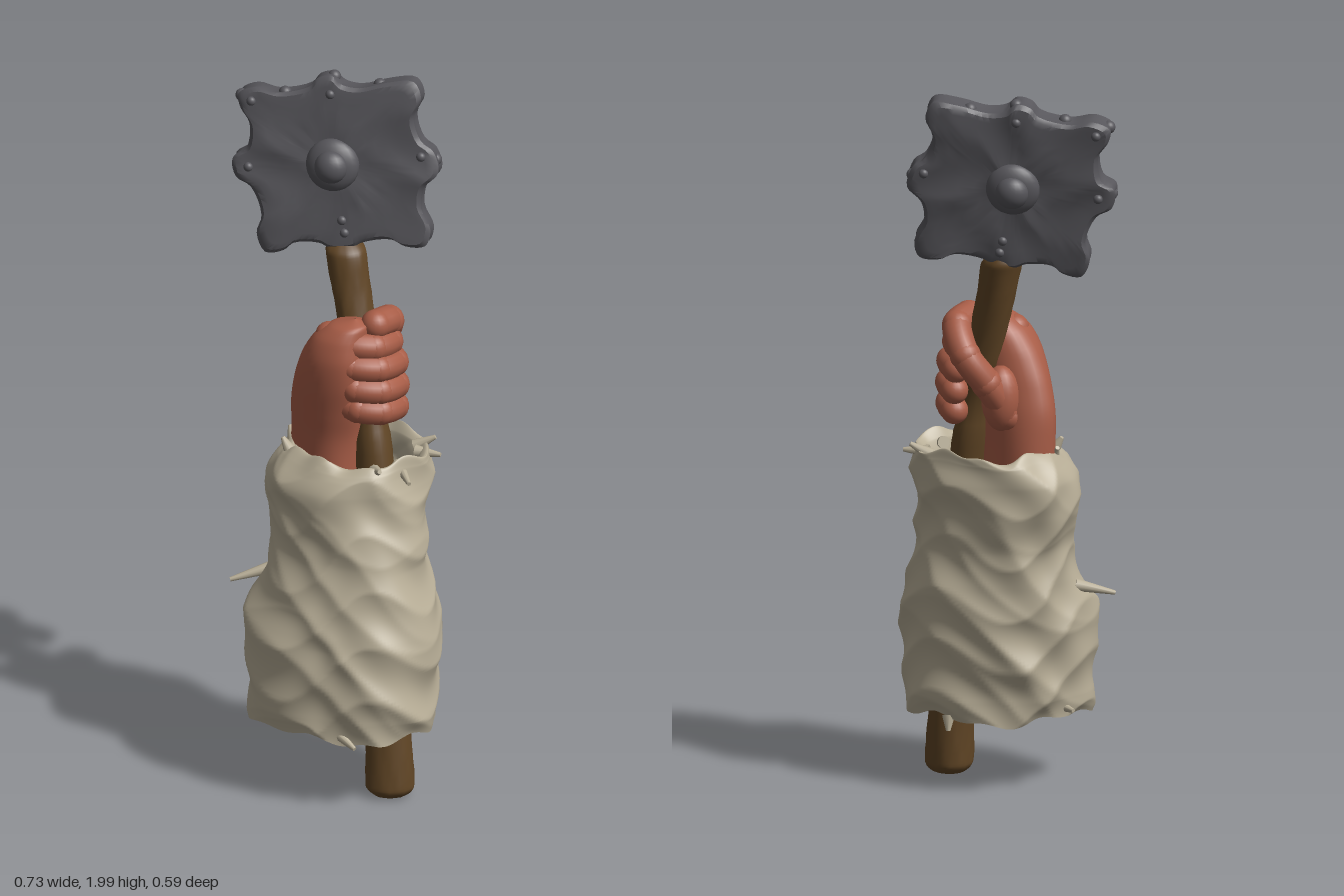
import * as THREE from 'three';
import { toCreasedNormals } from 'three/addons/utils/BufferGeometryUtils.js';

const V = (x, y, z) => new THREE.Vector3(x, y, z);
const paint = (name, color, side = THREE.FrontSide) => {
  const m = new THREE.MeshStandardMaterial({ color, side });
  m.name = name;
  return m;
};
const ridge = (a) => 1 - 2 * Math.abs(Math.sin(a));
const clamp01 = (v) => Math.min(1, Math.max(0, v));

// closed rings joined into a skin; point(i, j) gives each vertex
function loft(rings, seg, point) {
  const pos = [], idx = [];
  for (let i = 0; i < rings; i++) for (let j = 0; j < seg; j++) pos.push(...point(i, j).toArray());
  for (let i = 0; i < rings - 1; i++) for (let j = 0; j < seg; j++) {
    const k = (j + 1) % seg, a = i * seg + j, b = i * seg + k, c = b + seg, d = a + seg;
    idx.push(a, b, c, a, c, d);
  }
  const g = new THREE.BufferGeometry();
  g.setAttribute('position', new THREE.Float32BufferAttribute(pos, 3));
  g.setIndex(idx);
  g.computeVertexNormals();
  return g;
}

// upright column from rows [y, cx, cz, rx, rz]; warp(angle, y, t) returns [radius factor, y shift]
function column(rows, n, seg, warp) {
  const centre = new THREE.CatmullRomCurve3(rows.map((r) => V(r[1], r[0], r[2])));
  const radius = new THREE.CatmullRomCurve3(rows.map((r) => V(r[3], 0, r[4])));
  return loft(n, seg, (i, j) => {
    const t = i / (n - 1), a = (j / seg) * Math.PI * 2;
    const c = centre.getPoint(t), r = radius.getPoint(t);
    const [f, dy] = warp(a, c.y, t);
    return V(c.x + Math.cos(a) * r.x * f, c.y + dy, c.z - Math.sin(a) * r.z * f);
  });
}

export function createModel() {
  const root = new THREE.Group();
  root.name = 'fistWithHammer';
  const iron = paint('dark iron', 0x57565b);
  const wood = paint('brown wood', 0x604525);
  const skin = paint('red brown skin', 0xa85d47);
  const cloth = paint('beige cloth', 0xb8ae97, THREE.DoubleSide);

  const add = (parent, name, geo, mat, at = [0, 0, 0]) => {
    const m = new THREE.Mesh(geo, mat);
    m.name = name;
    m.position.set(...at);
    parent.add(m);
    return m;
  };
  const ball = (parent, name, mat, at, r, squash = 1) => {
    const m = add(parent, name, new THREE.SphereGeometry(r, 20, 14), mat, at);
    m.scale.z = squash;
    return m;
  };

  // wooden shaft, slightly bent, ending inside the hammer head
  add(root, 'shaft', column([
    [0.003, 0.218, 0.002, 0.002, 0.002], [0.006, 0.218, 0.002, 0.045, 0.045], [0.035, 0.217, 0.002, 0.067, 0.067],
    [0.2, 0.2, -0.006, 0.062, 0.062], [0.6, 0.14, -0.03, 0.055, 0.055], [1.0, 0.07, -0.05, 0.051, 0.051],
    [1.2, 0.018, -0.056, 0.051, 0.051], [1.4, -0.042, -0.06, 0.053, 0.053], [1.5, -0.07, -0.064, 0.056, 0.056],
    [1.54, -0.088, -0.07, 0.03, 0.03],
  ], 80, 28, (a, y) => [1 + 0.03 * Math.sin(3 * a + 9 * y) + 0.02 * ridge(5 * a + 4 * Math.sin(7 * y)), 0]), wood);

  // hammer head: battered square plate with scalloped edges, leaning with the shaft
  const head = new THREE.Group();
  head.name = 'hammerHead';
  const up = V(-0.17, 0.98, -0.05).normalize();
  const right = new THREE.Vector3().crossVectors(up, V(0.68, 0.15, 0.734)).normalize();
  const face = new THREE.Vector3().crossVectors(right, up);
  head.setRotationFromMatrix(new THREE.Matrix4().makeBasis(right, up, face));
  head.position.set(-0.125, 1.742, -0.075);
  root.add(head);
  const edge = new THREE.CatmullRomCurve3([
    [0.284, -0.03], [0.274, 0.03], [0.242, 0.06], [0.226, 0.13], [0.25, 0.18], [0.232, 0.228],
    [0.16, 0.228], [0.08, 0.214], [0.03, 0.226], [0.005, 0.25], [-0.035, 0.244], [-0.06, 0.22],
    [-0.15, 0.206], [-0.21, 0.222], [-0.258, 0.204], [-0.255, 0.165], [-0.232, 0.12], [-0.245, 0.05],
    [-0.284, 0.025], [-0.28, -0.03], [-0.24, -0.06], [-0.215, -0.14], [-0.232, -0.19], [-0.212, -0.244],
    [-0.16, -0.24], [-0.13, -0.22], [-0.06, -0.222], [-0.03, -0.236], [0.03, -0.236], [0.06, -0.222],
    [0.14, -0.215], [0.18, -0.235], [0.235, -0.235], [0.252, -0.19], [0.23, -0.13], [0.242, -0.07],
  ].map(([x, y]) => V(x, y, 0)), true);
  const rim = edge.getPoints(144).slice(0, 144);
  const half = [[0.01, 1], [0.2, 1], [0.35, 1], [0.5, 1], [0.65, 1], [0.78, 1], [0.88, 1], [0.95, 0.97], [0.995, 0.7]];
  const profile = [...half.map(([s, z]) => [s, -z]), [0.985, 0], ...half.slice().reverse()];
  const plate = loft(profile.length, 144, (i, j) => {
    const [s, z] = profile[i], x = rim[j].x * s, y = rim[j].y * s;
    const dent = 0.003 * ridge(14 * x + 9 * y + Math.sin(17 * y) + z) + 0.003 * ridge(11 * x - 16 * y + Math.sin(15 * x));
    return V(x, y, z * (0.043 + dent));
  });
  add(head, 'headPlate', toCreasedNormals(plate, 0.7), iron);
  for (const s of [1, -1]) {
    ball(head, 'bossBase', iron, [-0.006, 0.002, s * 0.04], 0.074, 0.5);
    ball(head, 'bossDome', iron, [-0.006, 0.002, s * 0.065], 0.046, 0.8);
    [[0.24, 0.02], [-0.24, 0], [0, 0.2], [0.01, -0.155], [0.015, -0.19], [-0.22, 0.185]]
      .forEach(([x, y]) => ball(head, 'rivet', iron, [x, y, s * 0.042], 0.013, 0.9));
  }
  // studs on the rim
  [[0.005, 0.238], [-0.25, 0.195], [0.13, 0.212], [-0.13, 0.2], [0.27, 0], [-0.272, 0]]
    .forEach(([x, y], i) => ball(head, 'rimStud', iron, [x, y, i % 2 ? 0.01 : -0.01], 0.018));

  // forearm running into the back of the hand
  add(root, 'forearmAndPalm', column([
    [0.72, -0.04, 0.02, 0.1, 0.085], [0.88, -0.05, 0.02, 0.11, 0.082], [1.0, -0.05, 0.02, 0.116, 0.078],
    [1.08, -0.04, 0.024, 0.122, 0.08], [1.16, -0.022, 0.028, 0.117, 0.083], [1.24, -0.002, 0.026, 0.1, 0.084],
    [1.3, 0.014, 0.014, 0.076, 0.076], [1.335, 0.032, 0, 0.052, 0.054], [1.352, 0.045, -0.008, 0.002, 0.002],
  ], 44, 32, (a, y) => [1 + 0.018 * Math.sin(4 * a + 12 * y), 0]), skin);
  // fleshy base of the thumb
  ball(root, 'thumbBase', skin, [-0.058, 1.12, -0.055], 0.054).scale.y = 1.7;

  // rounded bent tube with swollen joints, used for the digits
  const digit = (name, pts, r) => {
    const g = new THREE.Group();
    g.name = name;
    root.add(g);
    add(g, name + 'Flesh', new THREE.TubeGeometry(new THREE.CatmullRomCurve3(pts), 28, r, 14), skin);
    pts.forEach((p, i) => ball(g, name + 'Joint', skin, p.toArray(), i === pts.length - 1 ? r : r * 1.04));
  };
  // four fingers wrapped round the shaft
  [1.105, 1.165, 1.228, 1.285].forEach((y, k) => {
    const cx = 0.016 - (y - 1.2) * 0.2, R = [0.08, 0.089, 0.094, 0.086][k];
    const pts = [-0.15, 0.65, 1.45, 2.3, 2.9].map((f, i) =>
      V(cx + Math.sin(f) * R * (i === 4 ? 0.85 : 1.04), y + 0.008 - 0.009 * i, -0.05 + Math.cos(f) * R));
    digit('finger', pts, 0.038);
  });
  digit('thumb', [V(-0.07, 1.07, -0.035), V(-0.055, 1.17, -0.105), V(-0.018, 1.25, -0.15), V(0.045, 1.318, -0.122), V(0.068, 1.33, -0.06)], 0.041);

  // wrinkled sleeve, open below and tucked in at the wrist
  const folds = (a, y, t) => {
    const lobe = (at) => Math.max(0, Math.cos(a - at)) ** 4;
    const w = 0.022 * ridge(10 * y + a + 1.1 * Math.sin(2 * a + 1))
      + 0.024 * ridge(21 * y - a + 1.4 * Math.sin(3 * a))
      + 0.018 * ridge(17 * y + 2 * a + 1.5 * Math.sin(2 * a + 4 * y))
      + 0.012 * Math.sin(5 * a + 23 * y + 2 * Math.sin(2 * a));
    // fuller low on one side, flatter beside it, square at the top of the far side
    const low = clamp01((0.8 - y) * 3), high = clamp01((y - 0.68) * 6);
    const shape = low * (0.2 * lobe(4.1) - 0.12 * lobe(5.3)) + 0.2 * high * lobe(0.785) + 0.04 * low * lobe(0.785);
    const ends = Math.max(0, 1 - Math.abs(t - 0.75) * 9) + Math.max(0, 1 - t * 12);
    return [1 + w + shape, ends * (0.01 * Math.sin(4 * a + 1) + 0.007 * Math.sin(9 * a))];
  };
  add(root, 'sleeve', column([
    [0.21, 0.1, 0.05, 0.24, 0.21], [0.27, 0.096, 0.05, 0.255, 0.222], [0.4, 0.086, 0.045, 0.265, 0.23],
    [0.5, 0.078, 0.035, 0.258, 0.224], [0.6, 0.064, 0.02, 0.246, 0.21], [0.7, 0.05, 0.014, 0.23, 0.19],
    [0.8, 0.014, 0.014, 0.23, 0.184], [0.89, 0, 0.008, 0.222, 0.2], [0.95, 0.012, -0.016, 0.198, 0.182],
    [0.972, 0.02, -0.03, 0.18, 0.164], [0.955, 0.02, -0.028, 0.163, 0.148],
    [0.88, 0.01, -0.015, 0.15, 0.136], [0.78, -0.01, 0, 0.125, 0.115],
  ], 170, 144, folds), cloth);

  // frayed tatters on the hems and side: start, end
  [
    [[0.1, 0.95, -0.17], [0.14, 0.98, -0.21]], [[0.13, 0.95, -0.15], [0.19, 0.95, -0.19]],
    [[0.17, 0.95, -0.06], [0.26, 0.93, -0.03]], [[0.17, 0.95, 0.02], [0.22, 0.97, 0.04]],
    [[-0.08, 0.95, 0.12], [-0.1, 0.985, 0.13]], [[-0.13, 0.95, 0.07], [-0.16, 0.98, 0.06]],
    [[-0.15, 0.58, 0.13], [-0.205, 0.55, 0.23]], [[-0.11, 0.24, 0.1], [-0.18, 0.235, 0.1]],
    [[0.2, 0.23, 0.18], [0.28, 0.2, 0.17]], [[0.05, 0.22, -0.15], [0.04, 0.18, -0.16]],
  ].forEach(([a, b]) => {
    const p = V(...a), d = V(...b).sub(p);
    const m = add(root, 'tatter', new THREE.CylinderGeometry(0.006, 0.018, d.length(), 10), cloth,
      p.clone().addScaledVector(d, 0.5).toArray());
    m.quaternion.setFromUnitVectors(V(0, 1, 0), d.clone().normalize());
  });
  return root;
}
